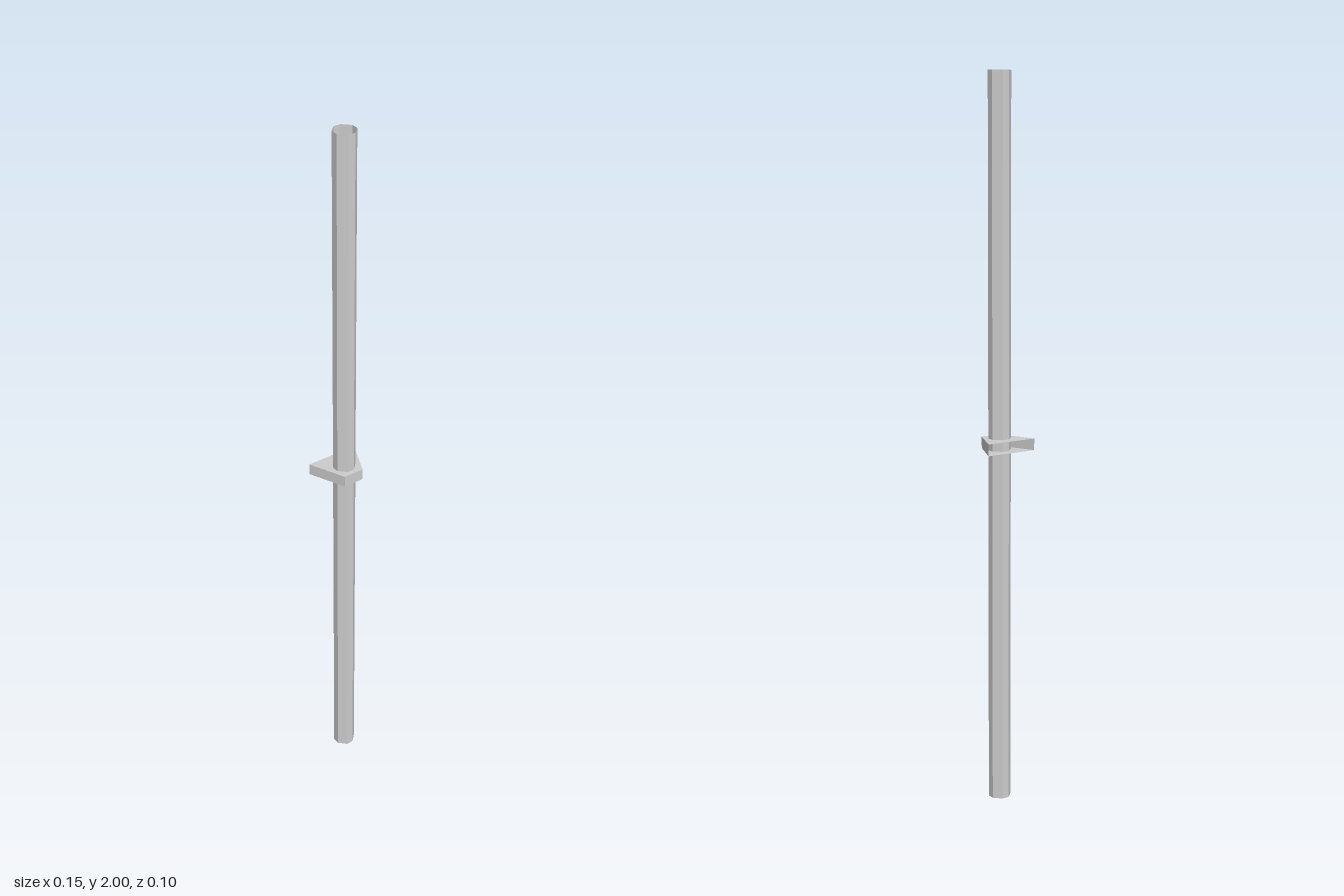
import * as THREE from 'three';

const material = new THREE.MeshStandardMaterial({ color: 0xcccccc, flatShading: true, side: THREE.DoubleSide });

// Open-ended wall that follows a list of [x, z] points between two heights
function wall(points, y0, y1) {
  const positions = [];
  for (let i = 0; i < points.length - 1; i++) {
    const [ax, az] = points[i];
    const [bx, bz] = points[i + 1];
    positions.push(ax, y0, az, bx, y0, bz, bx, y1, bz, ax, y0, az, bx, y1, bz, ax, y1, az);
  }
  const geometry = new THREE.BufferGeometry();
  geometry.setAttribute('position', new THREE.Float32BufferAttribute(positions, 3));
  geometry.computeVertexNormals();
  return geometry;
}

function add(parent, name, geometry) {
  const mesh = new THREE.Mesh(geometry, material);
  mesh.name = name;
  parent.add(mesh);
  return mesh;
}

export function createModel() {
  const model = new THREE.Group();
  model.name = 'poleWithCollar';

  // Hollow eight-sided pole, open at both ends
  const r = 0.03, w = 0.01, poleZ = 0.006;
  const ring = [[w, r], [r, w], [r, -w], [w, -r], [-w, -r], [-r, -w], [-r, w], [-w, r], [w, r]]
    .map(([x, z]) => [x, z + poleZ]);
  add(model, 'pole', wall(ring.reverse(), 0, 2));

  // Trapezoid collar: front and side walls with a plate above and below, open at the back
  const collar = new THREE.Group();
  collar.name = 'collar';
  model.add(collar);
  const outline = [[-0.074, -0.052], [-0.029, 0.05], [0.029, 0.05], [0.074, -0.052]];
  const bottom = 0.997, top = 1.029;
  add(collar, 'collarWalls', wall(outline, bottom, top));

  const shape = new THREE.Shape(outline.map(([x, z]) => new THREE.Vector2(x, -z)));
  for (const [name, y] of [['bottomPlate', bottom], ['topPlate', top]]) {
    const plate = add(collar, name, new THREE.ShapeGeometry(shape));
    plate.rotation.x = -Math.PI / 2;
    plate.position.y = y;
  }
  return model;
}
